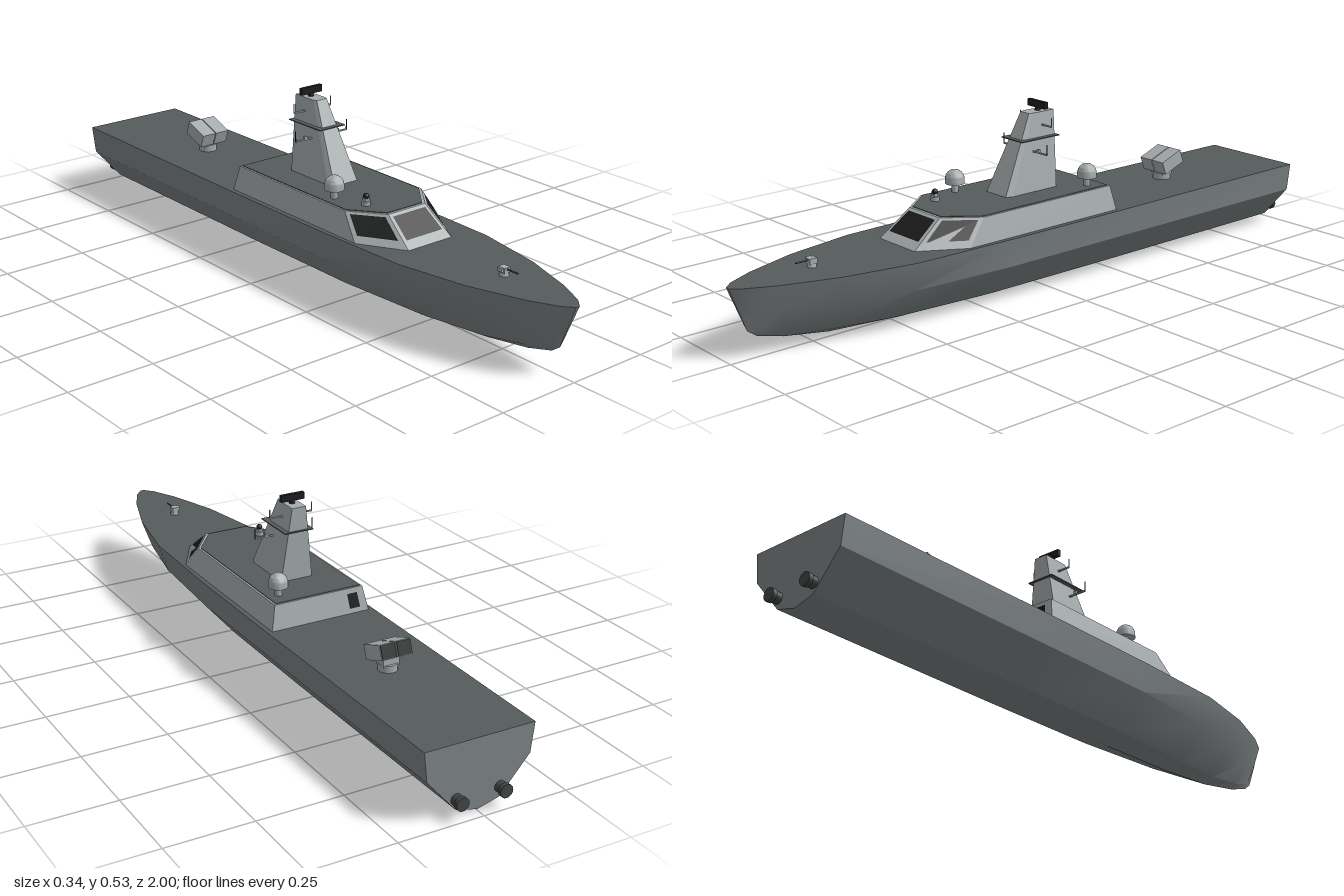
import * as THREE from 'three';
import { toCreasedNormals } from 'three/addons/utils/BufferGeometryUtils.js';

const mat = (name, color) => Object.assign(new THREE.MeshStandardMaterial({ color }), { name });

// Flat faces, each a corner loop listed counter-clockwise from outside
function faces(loops) {
  const pos = [];
  for (const l of loops)
    for (let i = 1; i < l.length - 1; i++) pos.push(...l[0], ...l[i], ...l[i + 1]);
  const g = new THREE.BufferGeometry();
  g.setAttribute('position', new THREE.Float32BufferAttribute(pos, 3));
  g.computeVertexNormals();
  return g;
}

// Walls and lid between a base outline and a top outline of [x, z] points
function taper(base, top, y0, y1) {
  const b = base.map(([x, z]) => [x, y0, z]);
  const t = top.map(([x, z]) => [x, y1, z]);
  const loops = b.map((p, i) => {
    const k = (i + 1) % b.length;
    return [p, b[k], t[k], t[i]];
  });
  return faces([...loops, t]);
}

// Mirrors a half outline on +x, listed front to back
const mirrored = half => [...half, ...half.slice().reverse().map(([x, z]) => [-x, z])];

// Thin plate on a four-sided panel (corners: bottom a, b, then top b, a), in panel fractions
function plate(c, u0, u1, v0, v1) {
  const [a, b, d, e] = c.map(p => new THREE.Vector3(...p));
  const n = b.clone().sub(a).cross(e.clone().sub(a)).normalize().multiplyScalar(0.0015);
  const at = (u, v) => a.clone().lerp(b, u).lerp(e.clone().lerp(d, u), v).add(n).toArray();
  return faces([[at(u0, v0), at(u1, v0), at(u1, v1), at(u0, v1)]]);
}

export function createModel() {
  const hullGrey = mat('hull grey', 0x7d8385);
  const lightGrey = mat('light grey', 0xa6acae);
  const deckGrey = mat('deck grey', 0x565c5c);
  const black = mat('black', 0x1b1c1c);
  const darkMetal = mat('dark metal', 0x424546);

  const model = new THREE.Group();
  const add = (name, geo, material, x = 0, y = 0, z = 0, parent = model) => {
    const m = new THREE.Mesh(geo, material);
    m.name = name;
    m.position.set(x, y, z);
    parent.add(m);
    return m;
  };
  const box = (w, h, d) => new THREE.BoxGeometry(w, h, d);
  const cyl = (r0, r1, h, n = 20) => new THREE.CylinderGeometry(r0, r1, h, n);

  // Hull stations: deck z, keel z, deck half width, upper chine x y, lower chine x y, keel y
  const deckY = 0.205;
  const stations = [
    [-0.97, -0.97, 0.163, 0.153, 0.12, 0.065, 0.02, 0.003],
    [-0.2, -0.2, 0.17, 0.155, 0.12, 0.07, 0.02, 0],
    [0.2, 0.2, 0.17, 0.155, 0.12, 0.068, 0.02, 0],
    [0.52, 0.5, 0.161, 0.136, 0.12, 0.05, 0.022, 0.003],
    [0.73, 0.7, 0.123, 0.095, 0.12, 0.032, 0.032, 0.014],
    [0.89, 0.84, 0.07, 0.05, 0.125, 0.016, 0.052, 0.036],
    [0.97, 0.92, 0.031, 0.021, 0.13, 0.007, 0.075, 0.058],
    [0.998, 0.947, 0.006, 0.004, 0.15, 0.002, 0.095, 0.077]
  ];
  const rings = stations.map(([zd, zk, wd, wu, yu, wl, yl, yk]) => {
    const p = (x, y) => [x, y, zk + (zd - zk) * (y - yk) / (deckY - yk)];
    return [p(wd, deckY), p(wu, yu), p(wl, yl), p(0, yk), p(-wl, yl), p(-wu, yu), p(-wd, deckY)];
  });
  const shell = [];
  const deck = [];
  for (let j = 0; j < rings.length - 1; j++) {
    const r = rings[j], s = rings[j + 1];
    for (let i = 0; i < 6; i++) shell.push([r[i], s[i], s[i + 1], r[i + 1]]);
    deck.push([r[6], s[6], s[0], r[0]]);
  }
  shell.push(rings[rings.length - 1].slice().reverse());
  add('hull', toCreasedNormals(faces(shell), 0.5), hullGrey);
  add('transom', faces([rings[0]]), hullGrey);
  add('deck', faces(deck), deckGrey);

  // Water jets
  for (const x of [-0.065, 0.065]) {
    add('waterJet', cyl(0.016, 0.016, 0.04), darkMetal, x, 0.05, -0.975).rotation.x = Math.PI / 2;
    add('jetNozzle', cyl(0.019, 0.019, 0.012), darkMetal, x, 0.05, -0.994).rotation.x = Math.PI / 2;
  }

  // Deckhouse with sloping faces and an inset roof
  const roofY = 0.277;
  const base = mirrored([[0.078, 0.47], [0.155, 0.34], [0.155, -0.205]]);
  const top = mirrored([[0.067, 0.375], [0.14, 0.28], [0.14, -0.192]]);
  add('deckhouse', taper(base, top, deckY, roofY), lightGrey);
  const roof = mirrored([[0.063, 0.367], [0.134, 0.277], [0.134, -0.187]]);
  add('roof', taper(roof, roof, roofY, roofY + 0.002), deckGrey);

  // Bridge windows and rear door
  const panel = i => {
    const k = (i + 1) % base.length;
    const at = (o, n, y) => [o[n][0], y, o[n][1]];
    return [at(base, i, deckY), at(base, k, deckY), at(top, k, roofY), at(top, i, roofY)];
  };
  add('frontWindow', plate(panel(5), 0.07, 0.93, 0.25, 0.91), black);
  add('leftWindow', plate(panel(0), 0.1, 0.9, 0.25, 0.91), black);
  add('rightWindow', plate(panel(4), 0.1, 0.9, 0.25, 0.91), black);
  add('rearDoor', plate(panel(2), 0.81, 0.92, 0.2, 0.8), black);

  // Mast
  add('mast', taper(
    mirrored([[0.042, 0.12], [0.05, 0.1], [0.05, -0.065]]),
    mirrored([[0.018, 0.012], [0.022, 0], [0.022, -0.078]]), roofY, 0.5), lightGrey);
  add('mastPlatform', box(0.09, 0.003, 0.14), deckGrey, 0, 0.428, -0.01);

  // Yards with aerials at their tips
  for (const [y, z, half, rise, tip] of [[0.463, -0.03, 0.067, 0.026, lightGrey], [0.393, 0.01, 0.093, 0.03, black]]) {
    add('yard', box(half * 2, 0.004, 0.005), lightGrey, 0, y, z);
    for (const s of [-1, 1]) add('aerial', cyl(0.0016, 0.0016, rise, 8), tip, s * half, y + rise / 2, z);
  }
  for (const s of [-1, 1]) add('navigationLight', box(0.008, 0.008, 0.008), lightGrey, s * 0.058, 0.399, 0.01);

  // Radar
  add('radarPivot', cyl(0.007, 0.009, 0.012), black, 0, 0.504, -0.037);
  add('radarBar', box(0.073, 0.02, 0.012), black, 0, 0.518, -0.037);

  // Satellite domes
  const domeProfile = [new THREE.Vector2(0, 0), new THREE.Vector2(0.028, 0)];
  for (let i = 0; i <= 8; i++) {
    const a = i / 8 * Math.PI / 2;
    domeProfile.push(new THREE.Vector2(0.028 * Math.cos(a), 0.013 + 0.028 * Math.sin(a)));
  }
  const domeGeo = toCreasedNormals(new THREE.LatheGeometry(domeProfile, 24), 0.7);
  for (const [x, z] of [[-0.1, 0.188], [0.1, -0.138]]) {
    add('domeStem', cyl(0.01, 0.01, 0.03), lightGrey, x, 0.291, z);
    add('dome', domeGeo, lightGrey, x, 0.304, z);
  }

  // Camera turret on the roof
  add('cameraBase', cyl(0.013, 0.013, 0.014, 12), lightGrey, -0.068, 0.284, 0.285);
  add('cameraNeck', box(0.014, 0.01, 0.012), lightGrey, -0.068, 0.295, 0.285);
  add('cameraBall', new THREE.SphereGeometry(0.009, 16, 10), black, -0.068, 0.304, 0.285);

  // Bow gun
  add('gunBase', cyl(0.011, 0.013, 0.01), lightGrey, 0, 0.21, 0.745);
  add('gunBody', box(0.02, 0.015, 0.024), lightGrey, 0, 0.222, 0.745);
  add('gunBarrel', cyl(0.0025, 0.0025, 0.045, 8), darkMetal, 0, 0.225, 0.772).rotation.x = Math.PI / 2;
  add('gunPod', box(0.006, 0.01, 0.016), lightGrey, -0.014, 0.224, 0.745);

  // Stern launcher: twin tilted boxes aimed aft
  const launcher = new THREE.Group();
  launcher.name = 'launcher';
  launcher.position.set(0, 0, -0.55);
  model.add(launcher);
  add('launcherBase', cyl(0.027, 0.027, 0.02), lightGrey, 0, 0.215, 0, launcher);
  add('launcherPost', box(0.05, 0.04, 0.036), lightGrey, 0, 0.24, 0, launcher);
  const boxes = new THREE.Group();
  boxes.name = 'launcherBoxes';
  boxes.position.set(0, 0.263, 0);
  boxes.rotation.x = 0.36;
  launcher.add(boxes);
  for (const s of [-1, 1]) {
    add('launchBox', box(0.046, 0.042, 0.08), lightGrey, s * 0.0245, 0, 0, boxes);
    add('boxMouth', box(0.042, 0.038, 0.004), black, s * 0.0245, 0, -0.0405, boxes);
  }
  return model;
}
